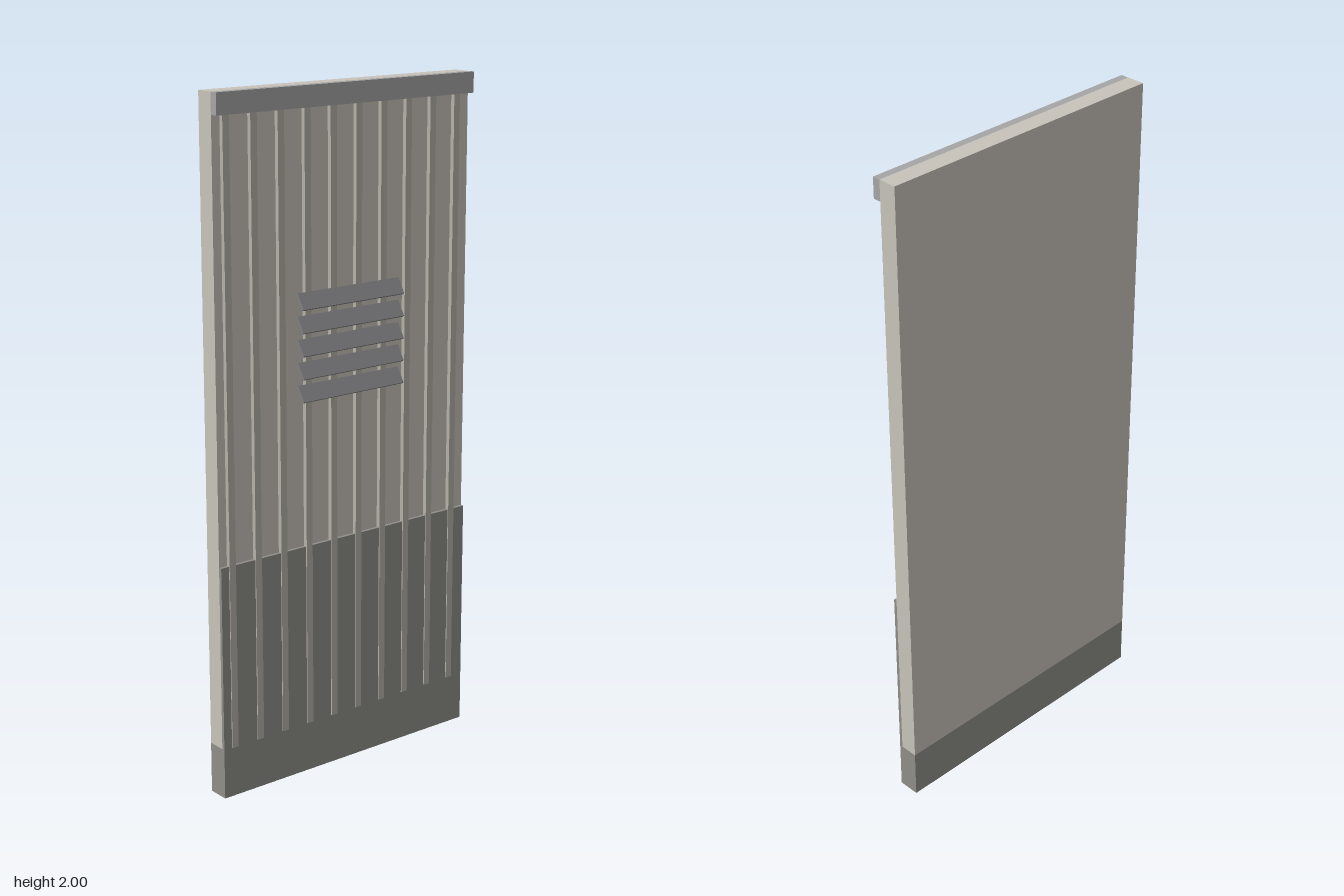
import * as THREE from 'three';

const WIDTH = 0.905;
const BACK = -0.05;

const material = (color) => new THREE.MeshStandardMaterial({ color });
const cladding = material(0xc8c4ba);
const ribPaint = material(0xb4b1a7);
const plinthPaint = material(0x8f8e88);
const trim = material(0xa6a6a6);
const louvrePaint = material(0x808082);

// Box given by its centre x, width, and its y and z ranges
function block(name, mat, x, width, y0, y1, z0, z1) {
  const mesh = new THREE.Mesh(new THREE.BoxGeometry(width, y1 - y0, z1 - z0), mat);
  mesh.position.set(x, (y0 + y1) / 2, (z0 + z1) / 2);
  mesh.name = name;
  return mesh;
}

export function createModel() {
  const model = new THREE.Group();
  model.name = 'wallPanel';

  // Main slab, the plinth under it and the skirt on its front
  model.add(
    block('panel', cladding, 0, WIDTH, 0.15, 2, BACK, 0.005),
    block('plinth', plinthPaint, 0, WIDTH, 0, 0.15, BACK, 0.015),
    block('skirt', plinthPaint, 0, WIDTH, 0.15, 0.695, 0.005, 0.015),
    block('topTrim', trim, 0, WIDTH, 1.94, 2, 0.005, 0.029)
  );

  // Vertical ribs, just proud of the skirt
  const ribs = new THREE.Group();
  ribs.name = 'ribs';
  for (let i = 0; i < 10; i++) {
    ribs.add(block('rib', ribPaint, -0.415 + i * 0.0905, 0.0215, 0.15, 1.95, 0.002, 0.018));
  }
  model.add(ribs);

  // Vent louvres, lower edges tilted outwards
  const vent = new THREE.Group();
  vent.name = 'ventLouvres';
  for (let i = 0; i < 5; i++) {
    const slat = new THREE.Mesh(new THREE.BoxGeometry(0.364, 0.05, 0.008), louvrePaint);
    slat.name = 'louvre';
    slat.position.set(0, 1.15 + i * 0.0655, 0.029);
    slat.rotation.x = -0.55;
    vent.add(slat);
  }
  model.add(vent);

  return model;
}
